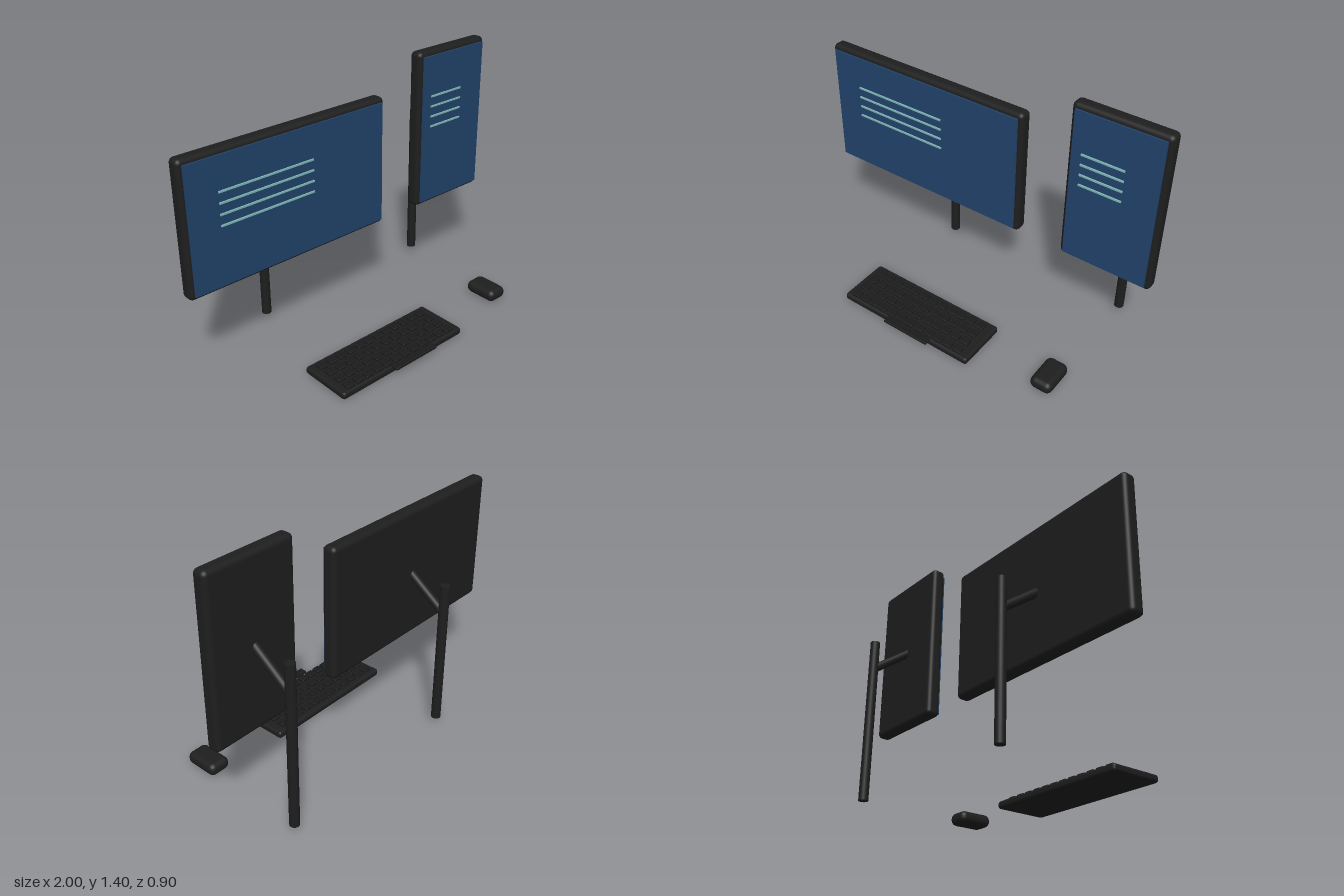
import * as THREE from 'three';
import { RoundedBoxGeometry } from 'three/addons/geometries/RoundedBoxGeometry.js';

const material = (name, color) => {
  const m = new THREE.MeshStandardMaterial({ color });
  m.name = name;
  return m;
};

export function createModel() {
  const shell = material('charcoal plastic', 0x1e1e1e);
  const keyPlastic = material('key plastic', 0x1b1b1b);
  const screenBlue = material('screen blue', 0x21436a);
  const textTeal = material('text teal', 0x7fb5b5);

  const model = new THREE.Group();
  model.name = 'deskSetup';

  const add = (parent, name, geometry, mat, x, y, z) => {
    const mesh = new THREE.Mesh(geometry, mat);
    mesh.name = name;
    mesh.position.set(x, y, z);
    parent.add(mesh);
    return mesh;
  };
  const group = (name) => {
    const g = new THREE.Group();
    g.name = name;
    model.add(g);
    return g;
  };

  // Monitor with screen, lines of text, sloping arm and post
  function addMonitor(name, x, y, width, height, postX, lines) {
    const g = group(name);
    add(g, 'housing', new RoundedBoxGeometry(width, height, 0.078, 4, 0.026), shell, x, y, -0.18);
    add(g, 'screen', new THREE.BoxGeometry(width - 0.05, height - 0.05, 0.009), screenBlue, x, y, -0.1345);

    for (let i = 0; i < 4; i++) {
      add(g, 'textLine', new THREE.BoxGeometry(lines.width, 0.009, 0.008), textTeal,
        lines.x, lines.top - i * 0.058, -0.125);
    }

    const bottom = 0.043;
    add(g, 'post', new THREE.CylinderGeometry(0.026, 0.026, y - bottom, 24), shell,
      postX, (y + bottom) / 2, -0.422);

    const from = new THREE.Vector3(postX, y - 0.16, -0.422);
    const to = new THREE.Vector3(postX, y + 0.01, -0.19);
    const along = to.clone().sub(from);
    const mid = from.clone().add(to).multiplyScalar(0.5);
    const arm = add(g, 'arm', new THREE.CylinderGeometry(0.023, 0.023, along.length(), 24), shell,
      mid.x, mid.y, mid.z);
    arm.quaternion.setFromUnitVectors(new THREE.Vector3(0, 1, 0), along.normalize());
  }
  addMonitor('wideMonitor', -0.382, 0.8625, 1.236, 0.725, -0.385, { x: -0.532, width: 0.555, top: 1.022 });
  addMonitor('uprightMonitor', 0.745, 0.95, 0.51, 0.9, 0.743, { x: 0.685, width: 0.23, top: 1.15 });

  // Keyboard with a grid of keys and a projecting space bar
  const keyboard = group('keyboard');
  add(keyboard, 'keyboardBase', new RoundedBoxGeometry(0.838, 0.041, 0.298, 3, 0.015), shell, -0.118, 0.0205, 0.26);
  const keyGeometry = new RoundedBoxGeometry(0.049, 0.016, 0.049, 2, 0.005);
  for (let row = 0; row < 4; row++) {
    for (let col = 0; col < 12; col++) {
      add(keyboard, 'key', keyGeometry, keyPlastic, -0.474 + col * 0.0635, 0.048, 0.167 + row * 0.068);
    }
  }
  add(keyboard, 'spaceBar', new RoundedBoxGeometry(0.287, 0.016, 0.045, 2, 0.005), keyPlastic, -0.076, 0.048, 0.427);

  // Mouse
  add(model, 'mouse', new RoundedBoxGeometry(0.124, 0.07, 0.197, 4, 0.032), shell, 0.7, 0.04, 0.236);

  return model;
}
